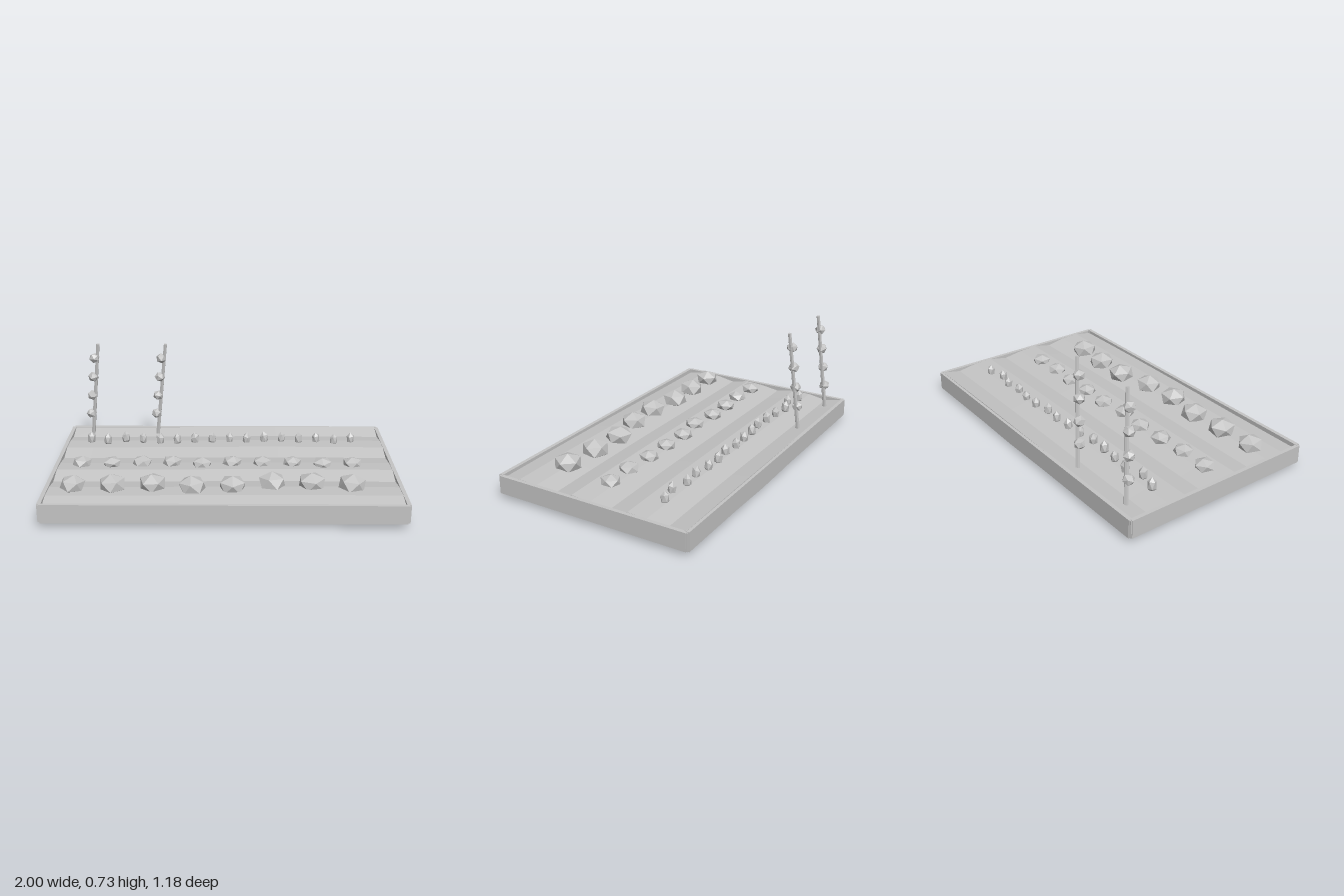
import * as THREE from 'three';

const grey = new THREE.MeshStandardMaterial({ color: 0xc4c4c4, flatShading: true });
grey.name = 'plain grey';

// Small seeded generator for natural variation
let seed = 7;
const rand = () => (seed = (seed * 16807) % 2147483647) / 2147483647;

function add(group, geometry, name, x = 0, y = 0, z = 0) {
  const mesh = new THREE.Mesh(geometry, grey);
  mesh.name = name;
  mesh.position.set(x, y, z);
  group.add(mesh);
  return mesh;
}

// Faceted lump with one corner pointing up, squashed and turned
function lump(rx, ry, tilt = 0.25) {
  const g = new THREE.IcosahedronGeometry(1, 0);
  g.rotateZ(Math.atan(2 / (1 + Math.sqrt(5))));
  g.rotateY(rand() * 6.28);
  g.rotateX((rand() - 0.5) * tilt);
  g.rotateZ((rand() - 0.5) * tilt);
  g.scale(rx, ry, rx);
  return g;
}

// Slab of soil: furrowed top, slightly sagging underside
function soil() {
  const heights = [0.135, 0.112, 0.131, 0.133, 0.11, 0.127, 0.134, 0.11, 0.13, 0.133, 0.113];
  const g = new THREE.BoxGeometry(1.95, 0.1, 1.15, 12, 1, 10);
  const p = g.attributes.position;
  for (let i = 0; i < p.count; i++) {
    const x = p.getX(i), z = p.getZ(i);
    if (p.getY(i) > 0) {
      const row = Math.round((z + 0.575) / 0.115);
      p.setY(i, heights[row] + 0.004 * Math.sin(x * 2.4 + 0.6));
    } else {
      const across = Math.max(0, 1 - Math.abs(x - 0.15) / 1.13);
      p.setY(i, 0.022 - 0.022 * across * (0.575 - z) / 1.15);
    }
  }
  g.computeVertexNormals();
  return g;
}

// Row of plants, evenly spaced in x with given z positions
function plantRow(group, name, startX, step, zs, y, rx, ry, tilt) {
  const row = new THREE.Group();
  row.name = name + 'Row';
  zs.forEach((z, i) => {
    const s = 0.95 + rand() * 0.1;
    add(row, lump(rx * s, ry * s, tilt), name, startX + step * i, y, z);
  });
  group.add(row);
}

// Leaning stake with fruit clusters up its height
function stake(group, x) {
  const vine = new THREE.Group();
  vine.name = 'climbingPlant';
  const base = new THREE.Vector3(x, 0.1, -0.508);
  const top = new THREE.Vector3(x + 0.068, 0.728, -0.455);
  const dir = top.clone().sub(base);
  const pole = add(vine, new THREE.CylinderGeometry(0.011, 0.013, dir.length(), 6), 'stake');
  pole.position.copy(base).addScaledVector(dir, 0.5);
  pole.quaternion.setFromUnitVectors(new THREE.Vector3(0, 1, 0), dir.clone().normalize());
  [0.26, 0.385, 0.51, 0.635].forEach((y) => {
    const c = base.clone().addScaledVector(dir, (y - 0.1) / dir.y);
    add(vine, lump(0.034, 0.032, 1), 'fruit', c.x - 0.018, y, c.z);
  });
  group.add(vine);
}

export function createModel() {
  seed = 7;
  const model = new THREE.Group();
  model.name = 'gardenBed';

  add(model, soil(), 'soil');

  // Board frame around the soil
  for (const s of [-1, 1]) {
    add(model, new THREE.BoxGeometry(1.97, 0.108, 0.022), 'longBoard', 0, 0.081, s * 0.581);
    add(model, new THREE.BoxGeometry(0.022, 0.104, 1.16), 'endBoard', s * 0.987, 0.081, 0);
    for (const t of [-1, 1]) {
      add(model, new THREE.BoxGeometry(0.024, 0.1, 0.02), 'cornerPost', s * 0.982, 0.081, t * 0.577);
    }
  }

  // Three planted rows, largest at the front
  plantRow(model, 'largePlant', -0.84, 0.2215,
    [0.36, 0.355, 0.345, 0.375, 0.365, 0.32, 0.325, 0.345], 0.151, 0.079, 0.056, 0.5);
  plantRow(model, 'mediumPlant', -0.84, 0.177,
    [0.025, 0.03, 0.02, 0.015, 0.04, 0.015, 0.02, 0.02, 0.035, 0.03], 0.141, 0.059, 0.035, 0.5);
  plantRow(model, 'smallPlant', -0.838, 0.1083,
    [-0.33, -0.3, -0.335, -0.32, -0.31, -0.305, -0.32, -0.325,
      -0.33, -0.32, -0.335, -0.335, -0.32, -0.33, -0.305, -0.33], 0.153, 0.026, 0.043, 0.5);

  stake(model, -0.855);
  stake(model, -0.437);
  return model;
}
